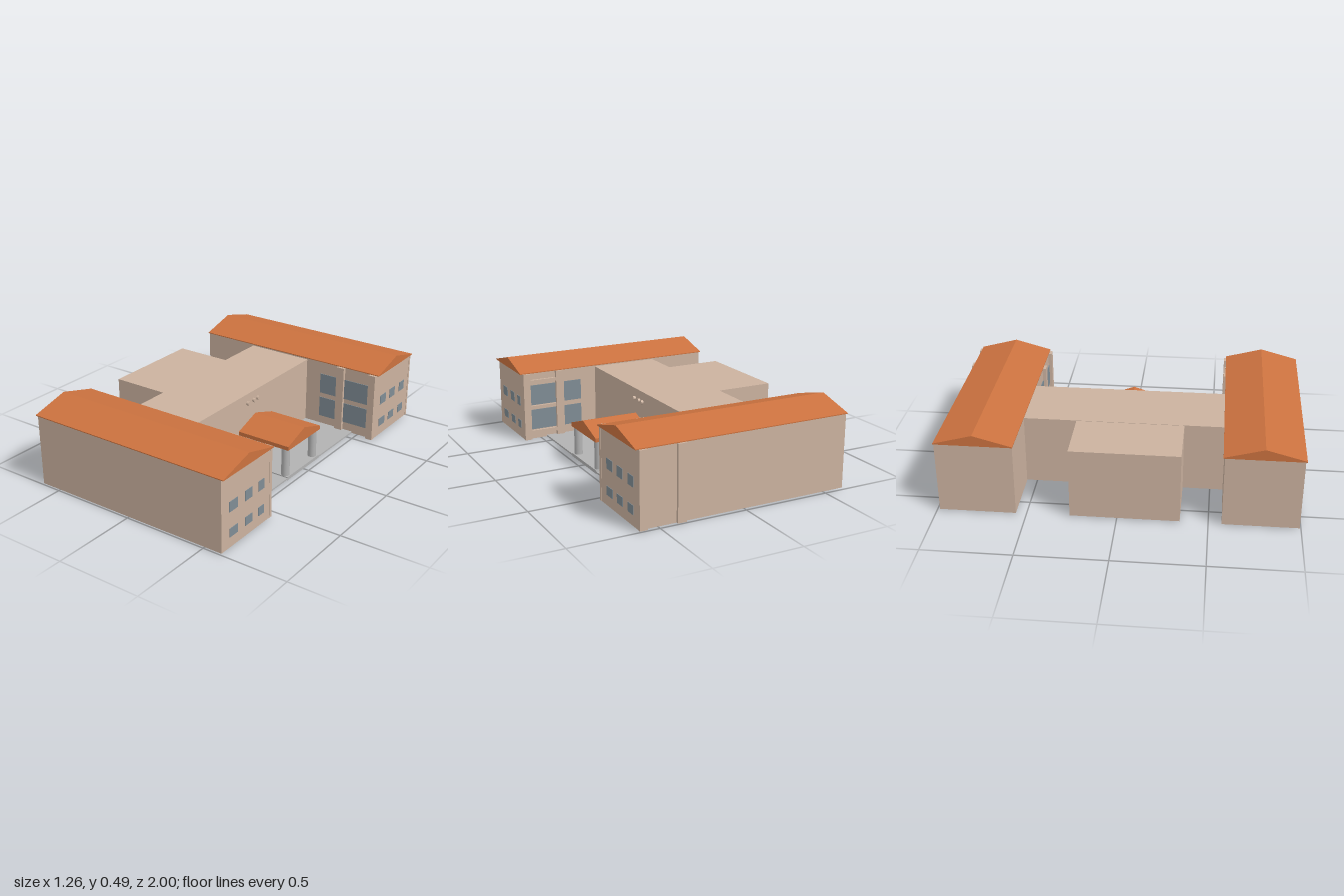
import * as THREE from 'three';

export function createModel() {
  const root = new THREE.Group();
  root.name = 'building';

  const material = (name, color) => {
    const m = new THREE.MeshStandardMaterial({ color });
    m.name = name;
    return m;
  };
  const wall = material('beige wall', 0xcbb29f);
  const tile = material('orange roof', 0xcb723f);
  const grey = material('grey paving', 0xb2b2b2);
  const glass = material('window glass', 0x7f8c94);

  const add = (name, geometry, mat, parent = root) => {
    const mesh = new THREE.Mesh(geometry, mat);
    mesh.name = name;
    parent.add(mesh);
    return mesh;
  };
  // Box given by its minimum and maximum on each axis
  const box = (name, mat, x0, x1, y0, y1, z0, z1, parent) => {
    const g = new THREE.BoxGeometry(x1 - x0, y1 - y0, z1 - z0);
    g.translate((x0 + x1) / 2, (y0 + y1) / 2, (z0 + z1) / 2);
    return add(name, g, mat, parent);
  };
  // Outline in (z, y), extruded along x from x0 to x1
  const rect = (T, z0, z1, y0, y1) =>
    new T([[z0, y0], [z1, y0], [z1, y1], [z0, y1]].map(([z, y]) => new THREE.Vector2(-z, y)));
  const extrudeX = (shape, x0, x1) => {
    const g = new THREE.ExtrudeGeometry(shape, { depth: x1 - x0, bevelEnabled: false });
    g.rotateY(Math.PI / 2);
    g.translate(x0, 0, 0);
    return g;
  };
  const outline = (points) => new THREE.Shape(points.map(([z, y]) => new THREE.Vector2(-z, y)));

  // Two side wings with gabled roofs; inner is +1 where the court lies towards +z
  const wings = [
    { name: 'leftWing', z0: 0.573, z1: 0.993, r0: 0.565, r1: 1.0, inner: -1,
      panes: [[0.625, 0.675], [0.73, 0.793], [0.857, 0.927]] },
    { name: 'rightWing', z0: -0.985, z1: -0.558, r0: -0.988, r1: -0.555, inner: 1,
      panes: [[-0.695, -0.625], [-0.81, -0.745], [-0.93, -0.87]] },
  ];
  const pilasters = [[0.35, 0.4], [0.568, 0.612]];
  const bays = [[0.23, 0.35], [0.4, 0.568]];
  for (const w of wings) {
    const wing = new THREE.Group();
    wing.name = w.name;
    root.add(wing);
    box('wingWalls', wall, -0.62, 0.61, 0.005, 0.424, w.z0, w.z1, wing);
    const mid = (w.r0 + w.r1) / 2;
    add('wingRoof', extrudeX(outline([[w.r0, 0.422], [w.r1, 0.422], [w.r1, 0.427],
      [mid, 0.485], [w.r0, 0.427]]), -0.628, 0.628), tile, wing);

    // Small windows on the end wall
    for (const [a, b] of w.panes)
      for (const [y0, y1] of [[0.065, 0.115], [0.21, 0.268]])
        box('endWindow', glass, 0.608, 0.613, y0, y1, a, b, wing);

    // Pilasters and large windows facing the court
    const face = w.inner > 0 ? w.z1 : w.z0;
    const slab = (name, mat, x0, x1, y0, y1, depth) => {
      const tip = face + w.inner * depth;
      box(name, mat, x0, x1, y0, y1, Math.min(face, tip), Math.max(face, tip), wing);
    };
    for (const [a, b] of pilasters) slab('pilaster', wall, a, b, 0.005, 0.422, 0.02);
    for (const [a, b] of bays)
      for (const [y0, y1] of [[0.065, 0.19], [0.22, 0.345]])
        slab('courtWindow', glass, a, b, y0, y1, 0.004);
    if (w.inner < 0)
      for (const y of [0.04, 0.197, 0.36]) slab('ledge', wall, 0.4, 0.568, y, y + 0.02, 0.015);
    else
      for (const [a, b] of pilasters)
        box('outerPilaster', wall, a, b, 0.005, 0.422, -1.0, w.z0, wing);
  }

  // Main block and rear hall
  box('mainBlock', wall, -0.275, 0.09, 0.008, 0.414, -0.56, 0.575);
  box('rearHall', wall, -0.615, -0.275, 0.005, 0.412, -0.26, 0.345);

  // Entrance facade with recessed openings
  const facade = rect(THREE.Shape, -0.56, 0.575, 0.008, 0.414);
  for (const [z0, z1, y0, y1] of [[0.34, 0.47, 0.285, 0.38], [-0.41, -0.295, 0.285, 0.38],
    [-0.145, 0.15, 0.285, 0.38], [-0.05, 0.037, 0.02, 0.145]])
    facade.holes.push(rect(THREE.Path, z0, z1, y0, y1));
  add('facade', extrudeX(facade, 0.09, 0.13), wall);
  box('door', wall, 0.09, 0.115, 0.02, 0.145, -0.05, 0.037);
  box('nichePanel', wall, 0.09, 0.108, 0.285, 0.38, -0.11, 0.118);
  for (const z of [0.055, -0.005, -0.045]) {
    const knob = new THREE.CylinderGeometry(0.012, 0.012, 0.015, 16);
    knob.rotateZ(-Math.PI / 2);
    knob.translate(0.115, 0.34, z);
    add('roundOrnament', knob, wall);
  }

  // Court paving and porch step
  box('courtPaving', grey, 0.13, 0.465, 0.004, 0.014, -0.56, 0.573);
  box('porchStep', grey, 0.13, 0.465, 0, 0.02, -0.168, 0.17);

  // Porch roof on two round columns
  add('porchRoof', extrudeX(outline([[-0.168, 0.187], [0.17, 0.187], [0.17, 0.21],
    [0.002, 0.267], [-0.168, 0.21]]), 0.13, 0.466), tile);
  for (const z of [-0.138, 0.146]) {
    const column = new THREE.CylinderGeometry(0.024, 0.024, 0.17, 24);
    column.translate(0.435, 0.104, z);
    add('porchColumn', column, grey);
  }
  return root;
}
